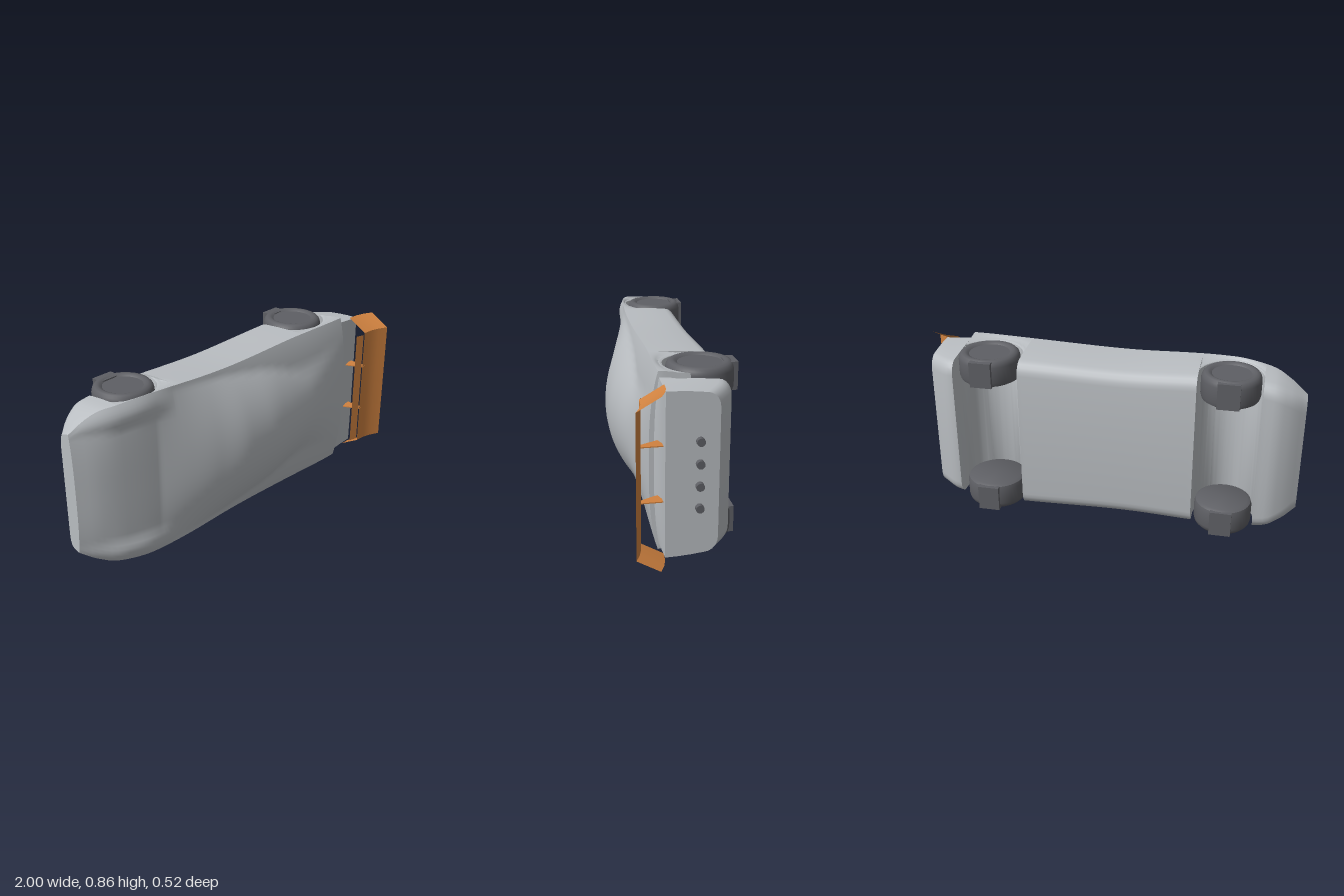
import * as THREE from 'three';
import { toCreasedNormals } from 'three/addons/utils/BufferGeometryUtils.js';

// The car rests on its flank: length along x (nose at -x), width along y, roof towards +z.
const MID = 0.43;
const ARCHES = [
  { x: -0.632, z: -0.11, r: 0.158, tyre: 0.147 },
  { x: 0.59, z: -0.097, r: 0.17, tyre: 0.156 },
];

// Monotone smooth interpolation through [x, value] pairs
function curve(pts) {
  const d = pts.slice(1).map((p, i) => (p[1] - pts[i][1]) / (p[0] - pts[i][0]));
  const m = pts.map((p, i) => {
    if (i === 0) return d[0];
    if (i === pts.length - 1) return d[i - 1];
    return d[i - 1] * d[i] <= 0 ? 0 : (2 * d[i - 1] * d[i]) / (d[i - 1] + d[i]);
  });
  return (x) => {
    let i = 0;
    while (i < pts.length - 2 && x > pts[i + 1][0]) i++;
    const h = pts[i + 1][0] - pts[i][0];
    const t = THREE.MathUtils.clamp((x - pts[i][0]) / h, 0, 1), s = 1 - t;
    return pts[i][1] * (1 + 2 * t) * s * s + pts[i + 1][1] * t * t * (3 - 2 * t)
      + h * (m[i] * t * s * s - m[i + 1] * t * t * s);
  };
}

const halfWidth = curve([[-1, 0.315], [-0.92, 0.375], [-0.84, 0.41], [-0.63, 0.429], [-0.1, 0.412],
  [0.4, 0.424], [0.742, 0.428], [0.744, 0.4], [0.9, 0.387]]);
const shoulder = curve([[-1, -0.06], [-0.9, -0.02], [-0.8, 0.03], [-0.63, 0.07], [-0.3, 0.095],
  [0.3, 0.105], [0.742, 0.122], [0.744, 0.118], [0.9, 0.118]]);
const deck = curve([[-1, -0.045], [-0.9, 0.01], [-0.8, 0.045], [-0.62, 0.085], [-0.3, 0.13],
  [0.3, 0.155], [0.742, 0.163], [0.744, 0.14], [0.84, 0.121], [0.9, 0.12]]);
const roof = curve([[-0.6, 0], [-0.45, 0.035], [-0.3, 0.07], [-0.12, 0.104], [0.03, 0.106],
  [0.2, 0.088], [0.4, 0.055], [0.6, 0.02], [0.74, 0]]);
const cabinWidth = curve([[-0.6, 0.41], [-0.3, 0.39], [0.1, 0.33], [0.4, 0.25], [0.74, 0.32]]);
const floor = curve([[-1, -0.12], [-0.93, -0.172], [-0.85, -0.2], [0.765, -0.2], [0.9, -0.12]]);

// One cross-section ring at x, clockwise seen from +x
function section(x) {
  const W = halfWidth(x), sh = shoulder(x), ring = [];
  const arch = ARCHES.find((a) => Math.abs(x - a.x) < a.r);
  const low = arch ? arch.z + Math.sqrt(arch.r ** 2 - (x - arch.x) ** 2) : floor(x);
  const N = 32;
  const fade = Math.max(0, Math.sin(Math.PI * THREE.MathUtils.clamp((x + 1) / 0.5, 0, 1)));
  for (let i = 0; i <= N; i++) {
    const t = -Math.cos((Math.PI * i) / N), w = Math.abs(t * W);
    let z = sh + (deck(x) - sh) * (1 - Math.abs(t) ** 3);
    z += roof(x) * Math.max(0, 1 - (w / cabinWidth(x)) ** 2);
    const s = THREE.MathUtils.clamp((w - 0.3) / (W - 0.3), 0, 1);
    z += 0.018 * fade * Math.sin(Math.PI * s); // front wing bulge
    ring.push([x, MID + t * W, z]);
  }
  // flank, rounded sill and floor
  const fz = Math.min(0.06, (sh - low) * 0.35), fy = arch ? 0.006 : 0.07;
  const half = [];
  for (let i = 1; i <= 3; i++) {
    const k = i / 3;
    half.push([W - 0.012 * k * k, sh + (low + fz - sh) * k]);
  }
  for (let i = 1; i <= 5; i++) {
    const a = (i / 5) * Math.PI / 2;
    half.push([W - 0.012 - fy * (1 - Math.cos(a)), low + fz * (1 - Math.sin(a))]);
  }
  half.forEach(([w, z]) => ring.push([x, MID + w, z]));
  half.reverse().forEach(([w, z]) => ring.push([x, MID - w, z]));
  return ring;
}

function bodyGeometry() {
  const xs = [0.742, 0.744, 0.765, 0.9];
  for (let i = 0; i < 72; i++) xs.push(-1 + (1.9 * i) / 72);
  for (const a of ARCHES) {
    for (let i = 0; i <= 24; i++) xs.push(a.x - 0.9999 * a.r * Math.cos((Math.PI * i) / 24));
    xs.push(a.x - a.r - 1e-4, a.x + a.r + 1e-4);
  }
  xs.sort((a, b) => a - b);
  const rings = xs.map(section), n = rings[0].length, pos = [], idx = [];
  rings.forEach((r) => r.forEach((p) => pos.push(...p)));
  for (let i = 0; i < rings.length - 1; i++) {
    for (let j = 0; j < n; j++) {
      const a = i * n + j, b = i * n + (j + 1) % n;
      idx.push(a, a + n, b, b, a + n, b + n);
    }
  }
  // nose and tail caps
  const last = (rings.length - 1) * n;
  pos.push(-1, MID, -0.08, 0.9, MID, 0);
  for (let j = 0; j < n; j++) {
    const k = (j + 1) % n;
    idx.push(last + n, j, k, last + n + 1, last + k, last + j);
  }
  const g = new THREE.BufferGeometry();
  g.setAttribute('position', new THREE.Float32BufferAttribute(pos, 3));
  g.setIndex(idx);
  return toCreasedNormals(g, 0.5);
}

// Thin strip: an x-z profile repeated at each [y, lift] stop
function strip(profile, stops) {
  const pos = [], idx = [], n = profile.length;
  stops.forEach(([y, lift]) => profile.forEach(([x, z]) => pos.push(x, y, z + lift)));
  for (let i = 0; i < stops.length - 1; i++) {
    for (let j = 0; j < n - 1; j++) {
      const a = i * n + j;
      idx.push(a, a + 1, a + n, a + 1, a + n + 1, a + n);
    }
  }
  const g = new THREE.BufferGeometry();
  g.setAttribute('position', new THREE.Float32BufferAttribute(pos, 3));
  g.setIndex(idx);
  return toCreasedNormals(g, 0.4);
}

export function createModel() {
  const paint = new THREE.MeshStandardMaterial({ name: 'silver paint', color: 0xb9bdc1 });
  const rubber = new THREE.MeshStandardMaterial({ name: 'dark rubber', color: 0x5e5f64 });
  const orange = new THREE.MeshStandardMaterial({ name: 'orange', color: 0xd08240, side: THREE.DoubleSide });
  const model = new THREE.Group();
  model.name = 'raceCar';
  const add = (name, geometry, material, parent = model) => {
    const mesh = new THREE.Mesh(geometry, material);
    mesh.name = name;
    parent.add(mesh);
    return mesh;
  };

  add('body', bodyGeometry(), paint);

  // Wheels with recessed hubs and flat contact blocks
  ARCHES.forEach((a, i) => {
    const R = a.tyre;
    const profile = [[0, 0.012], [R * 0.66, 0.012], [R * 0.72, 0.005], [R * 0.8, 0.001], [R * 0.9, 0.005],
      [R * 0.97, 0.017], [R, 0.035], [R, 0.115], [R * 0.96, 0.135], [R * 0.85, 0.145], [0, 0.145]]
      .map(([r, y]) => new THREE.Vector2(r, y));
    for (const side of [0, 1]) {
      const wheel = new THREE.Group();
      wheel.name = (i ? 'rear' : 'front') + (side ? 'UpperWheel' : 'LowerWheel');
      wheel.position.set(a.x, side ? 0.858 : 0.002, a.z);
      wheel.scale.y = 1;
      const tyre = add('tyre', toCreasedNormals(new THREE.LatheGeometry(profile, 48), 0.6), rubber, wheel);
      if (side) tyre.rotation.x = Math.PI;
      const depth = 0.262 + a.z;
      add('contactBlock', new THREE.BoxGeometry(0.11, 0.132, 0.06), rubber, wheel)
        .position.set(0, side ? -0.072 : 0.072, -depth + 0.03);
      model.add(wheel);
    }
  });

  // Rear wing with swept-down ends, front flap and two stays
  const wing = new THREE.Group();
  wing.name = 'rearWing';
  model.add(wing);
  add('wingBlade', strip([[0.84, 0.114], [0.9, 0.118], [0.95, 0.132], [1, 0.155]],
    [[0.032, 0], [0.094, 0.108], [0.768, 0.108], [0.83, 0]]), orange, wing);
  add('wingFlap', strip([[0.787, 0.207], [0.835, 0.219]], [[0.107, 0], [0.757, 0]]), orange, wing);
  const stay = new THREE.Shape([[0.8, 0.135], [0.842, 0.122], [0.87, 0.122], [0.87, 0.225], [0.845, 0.225]]
    .map(([x, z]) => new THREE.Vector2(x, z)));
  for (const y of [0.3, 0.562]) {
    const g = new THREE.ExtrudeGeometry(stay, { depth: 0.005, bevelEnabled: false });
    const fin = add('wingStay', g, orange, wing);
    fin.rotation.x = Math.PI / 2;
    fin.scale.y = 1;
    fin.position.y = y + 0.0025;
  }

  // Exhaust pipes
  for (let i = 0; i < 4; i++) {
    const pipe = add('exhaustPipe', new THREE.CylinderGeometry(0.019, 0.019, 0.04, 20), rubber);
    pipe.rotation.z = -Math.PI / 2;
    pipe.position.set(0.904, 0.276 + i * 0.104, -0.032);
  }
  return model;
}
